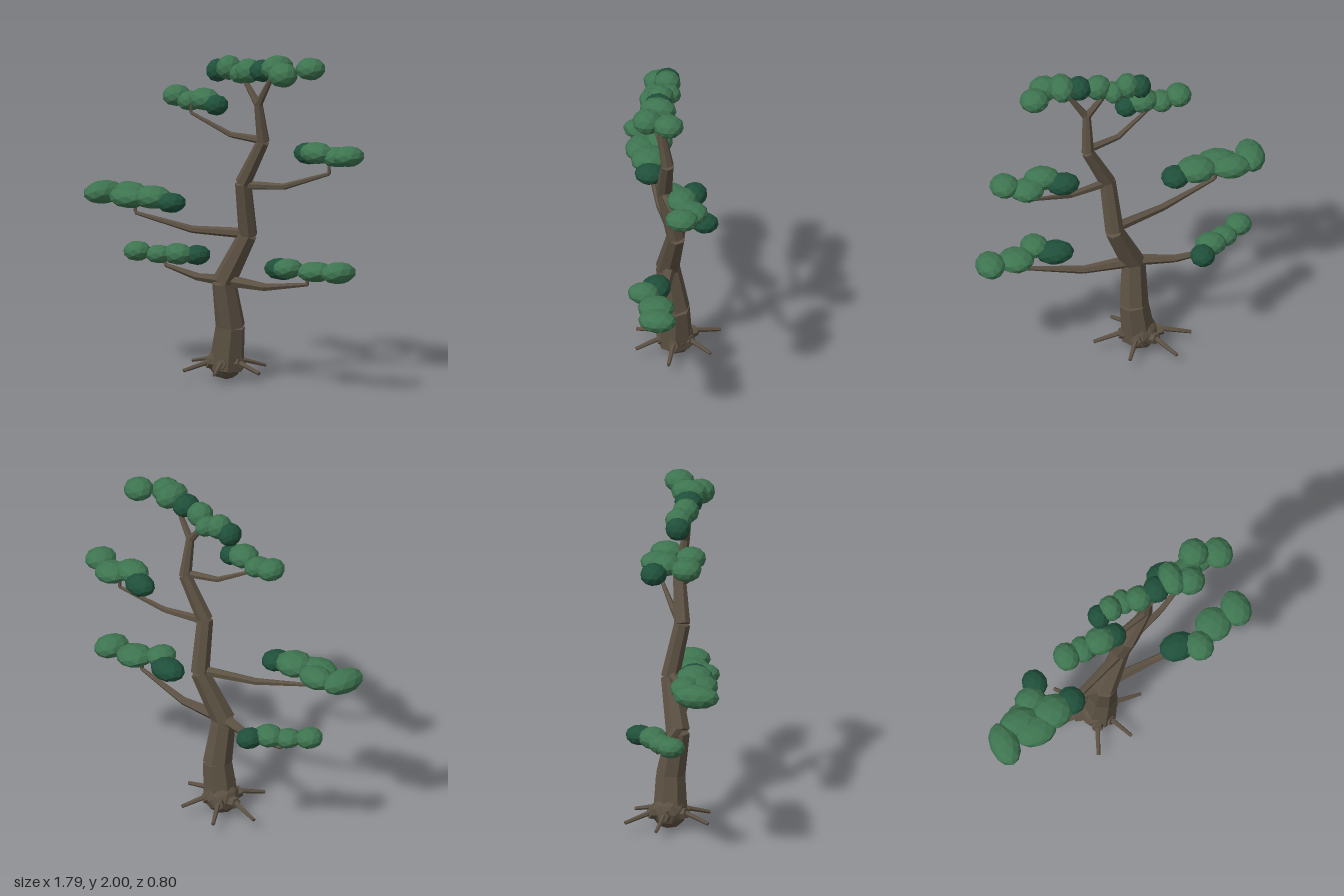
import * as THREE from 'three';

const bark = new THREE.MeshStandardMaterial({ color: 0x5c5143, flatShading: true });
bark.name = 'bark brown';
const leaf = new THREE.MeshStandardMaterial({ color: 0x3e7450, flatShading: true });
leaf.name = 'leaf green';
const darkLeaf = new THREE.MeshStandardMaterial({ color: 0x1f4f3a, flatShading: true });
darkLeaf.name = 'dark leaf green';

const UP = new THREE.Vector3(0, 1, 0);

// Chain of tapered cylinders through points [x, y, z, radius]
function limb(name, points, sides) {
  const group = new THREE.Group();
  group.name = name;
  for (let i = 0; i < points.length - 1; i++) {
    const a = new THREE.Vector3(...points[i].slice(0, 3));
    const b = new THREE.Vector3(...points[i + 1].slice(0, 3));
    const dir = b.clone().sub(a);
    const geo = new THREE.CylinderGeometry(points[i + 1][3], points[i][3], dir.length(), sides);
    const mesh = new THREE.Mesh(geo, bark);
    mesh.name = name + 'Segment';
    mesh.position.copy(a).add(b).multiplyScalar(0.5);
    mesh.quaternion.setFromUnitVectors(UP, dir.normalize());
    group.add(mesh);
  }
  return group;
}

// Leaf pad made of flattened faceted blobs [x, y, z, rx, ry, rz, dark]
function pad(name, blobs) {
  const group = new THREE.Group();
  group.name = name;
  for (const [x, y, z, rx, ry, rz, dark] of blobs) {
    const mesh = new THREE.Mesh(new THREE.IcosahedronGeometry(1, 1), dark ? darkLeaf : leaf);
    mesh.name = dark ? 'darkLeafBlob' : 'leafBlob';
    mesh.position.set(x, y, z);
    mesh.scale.set(rx, ry, rz);
    group.add(mesh);
  }
  return group;
}

export function createModel() {
  const tree = new THREE.Group();
  tree.name = 'tree';

  // Zigzag trunk
  tree.add(limb('trunk', [
    [-0.09, 0.07, -0.065, 0.105], [-0.06, 0.32, -0.07, 0.088], [-0.065, 0.59, -0.025, 0.072],
    [0.06, 0.88, -0.1, 0.056], [0.09, 1.2, -0.035, 0.049], [0.215, 1.46, -0.08, 0.038],
    [0.215, 1.7, -0.04, 0.025],
  ], 7));

  // Rounded foot of the trunk
  const foot = new THREE.Mesh(new THREE.IcosahedronGeometry(0.105, 1), bark);
  foot.name = 'trunkFoot';
  foot.position.set(-0.1, 0.105, -0.07);
  tree.add(foot);

  // Roots: thick stub, then a thin tip; tips as [x, z]
  const tips = [[-0.4, -0.08], [0.18, -0.08], [-0.28, -0.295], [0, -0.295], [-0.19, 0.185], [0.035, 0.145]];
  for (const [x, z] of tips) {
    const at = (t, y, r) => [-0.1 + (x + 0.1) * t, y, -0.07 + (z + 0.07) * t, r];
    tree.add(limb('rootStub', [at(0.1, 0.09, 0.045), at(0.45, 0.11, 0.032)], 6));
    tree.add(limb('root', [at(0.3, 0.12, 0.016), at(1, 0.07, 0.011)], 6));
  }

  // Branches
  tree.add(limb('lowerRightBranch', [
    [-0.06, 0.6, -0.03, 0.036], [-0.31, 0.585, -0.04, 0.023], [-0.58, 0.62, -0.03, 0.012], [-0.6, 0.67, -0.03, 0.01]], 6));
  tree.add(limb('lowerLeftBranch', [
    [-0.04, 0.6, -0.04, 0.038], [0.24, 0.595, -0.07, 0.024], [0.6, 0.66, -0.08, 0.012], [0.6, 0.72, -0.08, 0.01]], 6));
  tree.add(limb('middleRightBranch', [
    [0.06, 0.89, -0.09, 0.032], [-0.25, 0.89, 0.06, 0.022], [-0.59, 0.96, 0.2, 0.011], [-0.6, 1.02, 0.2, 0.01]], 6));
  tree.add(limb('middleLeftBranch', [
    [0.1, 1.19, -0.04, 0.028], [0.33, 1.2, -0.14, 0.019], [0.58, 1.295, -0.27, 0.011], [0.58, 1.37, -0.27, 0.01]], 6));
  tree.add(limb('upperRightBranch', [
    [0.21, 1.47, -0.07, 0.024], [0.02, 1.485, 0.0, 0.017], [-0.2, 1.6, 0.115, 0.01], [-0.2, 1.65, 0.115, 0.009]], 6));
  tree.add(limb('rightFork', [[0.215, 1.685, -0.04, 0.024], [0.1, 1.83, -0.03, 0.014]], 6));
  tree.add(limb('leftFork', [[0.215, 1.685, -0.04, 0.024], [0.33, 1.86, -0.04, 0.014]], 6));

  // Leaf pads
  tree.add(pad('lowerRightPad', [
    [-0.455, 0.68, -0.165, 0.075, 0.06, 0.085, true], [-0.52, 0.69, -0.07, 0.095, 0.065, 0.085],
    [-0.61, 0.685, 0.0, 0.08, 0.055, 0.08], [-0.71, 0.7, 0.08, 0.08, 0.06, 0.085]]));
  tree.add(pad('lowerLeftPad', [
    [0.405, 0.73, -0.05, 0.115, 0.065, 0.09, true], [0.52, 0.755, 0.0, 0.085, 0.06, 0.095],
    [0.645, 0.74, -0.1, 0.11, 0.06, 0.11], [0.805, 0.75, -0.14, 0.09, 0.065, 0.115]]));
  tree.add(pad('middleRightPad', [
    [-0.345, 1.045, 0.14, 0.085, 0.06, 0.09, true], [-0.475, 1.065, 0.17, 0.12, 0.07, 0.11],
    [-0.61, 1.055, 0.24, 0.13, 0.065, 0.1], [-0.68, 1.065, 0.16, 0.12, 0.065, 0.09],
    [-0.81, 1.06, 0.255, 0.088, 0.07, 0.14]]));
  tree.add(pad('middleLeftPad', [
    [0.395, 1.39, -0.275, 0.1, 0.065, 0.08, true], [0.515, 1.415, -0.23, 0.11, 0.065, 0.09],
    [0.615, 1.395, -0.305, 0.105, 0.06, 0.1], [0.745, 1.42, -0.275, 0.088, 0.062, 0.1]]));
  tree.add(pad('upperRightPad', [
    [-0.04, 1.66, 0.06, 0.07, 0.062, 0.075, true], [-0.135, 1.685, 0.07, 0.095, 0.068, 0.09],
    [-0.25, 1.66, 0.075, 0.07, 0.06, 0.085], [-0.355, 1.68, 0.09, 0.078, 0.065, 0.09]]));
  tree.add(pad('crownPad', [
    [-0.11, 1.85, -0.015, 0.065, 0.07, 0.075, true], [-0.03, 1.875, -0.03, 0.07, 0.075, 0.08],
    [0.055, 1.85, -0.05, 0.06, 0.062, 0.08], [0.145, 1.88, -0.025, 0.08, 0.075, 0.08],
    [0.26, 1.895, -0.035, 0.075, 0.068, 0.085, true], [0.365, 1.925, -0.055, 0.078, 0.075, 0.11],
    [0.465, 1.9, -0.01, 0.09, 0.075, 0.088], [0.545, 1.93, -0.155, 0.088, 0.068, 0.09]]));

  return tree;
}
